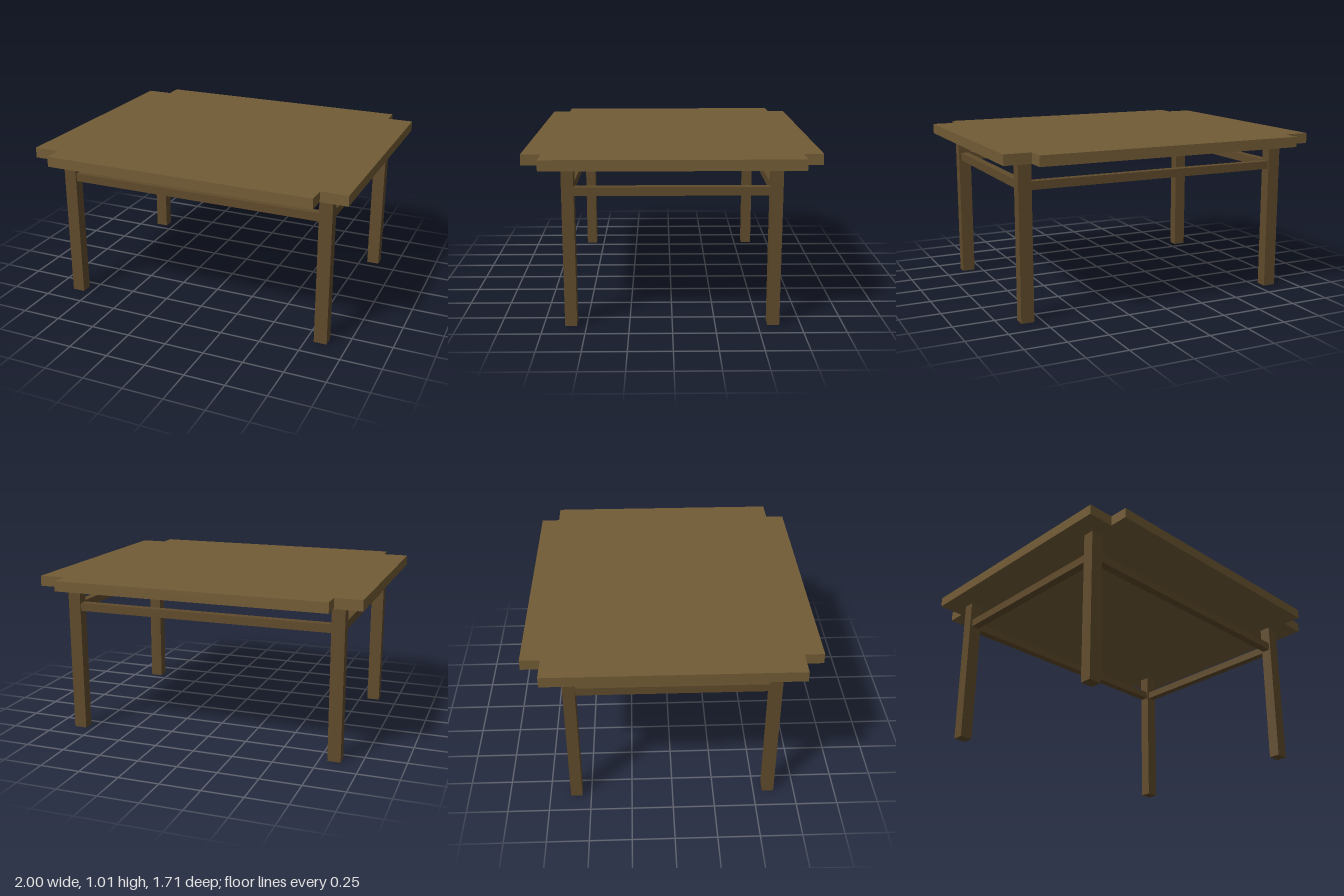
import * as THREE from 'three';

export function createModel() {
  const table = new THREE.Group();
  table.name = 'table';
  const topWood = new THREE.MeshStandardMaterial({ color: 0x735c36 });
  const frameWood = new THREE.MeshStandardMaterial({ color: 0x604b2b });

  const addBox = (name, size, position) => {
    const mesh = new THREE.Mesh(new THREE.BoxGeometry(...size), frameWood);
    mesh.name = name;
    mesh.position.set(...position);
    table.add(mesh);
  };

  // Table top: a slab with a rectangular notch at each corner
  const X = 1, Z = 0.853, nx = 0.837, nz = 0.738;
  const outline = new THREE.Shape([
    [nx, -Z], [nx, -nz], [X, -nz], [X, nz], [nx, nz], [nx, Z],
    [-nx, Z], [-nx, nz], [-X, nz], [-X, -nz], [-nx, -nz], [-nx, -Z],
  ].map(([x, z]) => new THREE.Vector2(x, z)));
  const topBottom = 0.945, topThickness = 0.063;
  const slab = new THREE.ExtrudeGeometry(outline, { depth: topThickness, bevelEnabled: false });
  slab.rotateX(-Math.PI / 2);
  const top = new THREE.Mesh(slab, topWood);
  top.name = 'tableTop';
  top.position.y = topBottom;
  table.add(top);

  // Four square legs
  const legX = 0.84, legZ = 0.59, legW = 0.08, legD = 0.07;
  for (const [side, sx] of [['Left', 1], ['Right', -1]])
    for (const [end, sz] of [['front', 1], ['back', -1]])
      addBox(`${end}${side}Leg`, [legW, topBottom, legD], [sx * legX, topBottom / 2, sz * legZ]);

  // Stretcher rails between the legs
  const railY = 0.8, railH = 0.05, railT = 0.05;
  for (const [end, sz] of [['front', 1], ['back', -1]])
    addBox(`${end}Rail`, [2 * legX - legW, railH, railT], [0, railY, sz * legZ]);
  for (const [side, sx] of [['left', 1], ['right', -1]])
    addBox(`${side}Rail`, [railT, railH, 2 * legZ - legD], [sx * legX, railY, 0]);

  return table;
}
